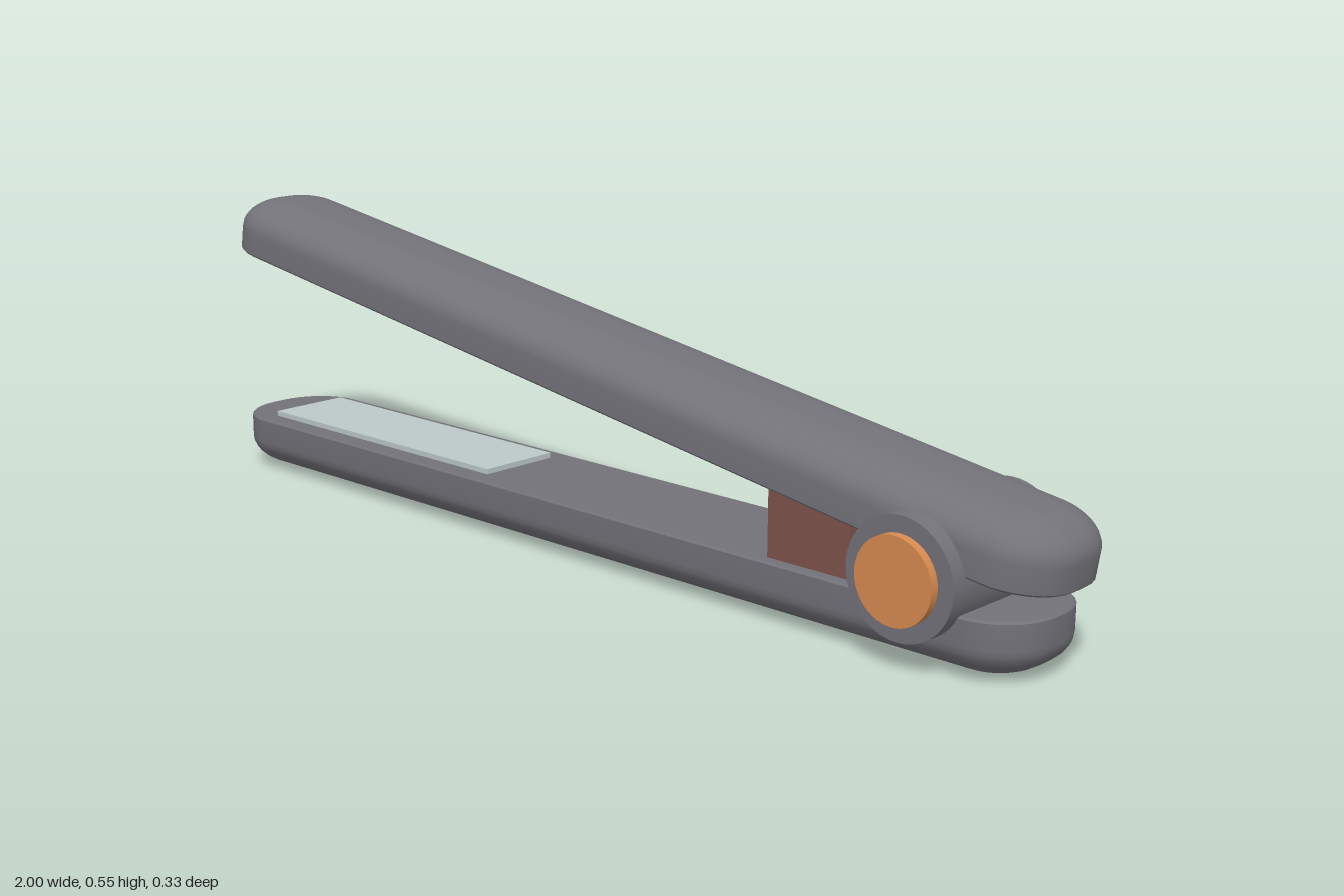
import * as THREE from 'three';
import { toCreasedNormals } from 'three/addons/utils/BufferGeometryUtils.js';

const material = (name, color) => {
  const m = new THREE.MeshStandardMaterial({ color });
  m.name = name;
  return m;
};

// Arm shell: flat face on y = 0, domed towards +y, made of stacked rounded-rectangle outlines
function armGeometry(length) {
  const halfWidth = 0.12, corner = 0.105, arc = 8;
  const layers = [[0, 0.004], [0.004, 0]]; // [height, inset]
  const steps = 9;
  for (let i = 0; i <= steps; i++) {
    const t = (i / steps) * Math.PI / 2;
    layers.push([0.048 + 0.06 * Math.sin(t), 0.1 * (1 - Math.cos(t))]);
  }
  const positions = [], index = [];
  const signs = [[1, -1], [-1, -1], [-1, 1], [1, 1]];
  for (const [y, inset] of layers) {
    signs.forEach(([sx, sz], q) => {
      for (let k = 0; k <= arc; k++) {
        const t = (q + k / arc) * Math.PI / 2;
        positions.push(
          sx * (length / 2 - corner) + (corner - inset) * Math.cos(t),
          y,
          sz * (halfWidth - corner) - (corner - inset) * Math.sin(t));
      }
    });
  }
  const n = 4 * (arc + 1), last = (layers.length - 1) * n;
  const bottom = layers.length * n, top = bottom + 1;
  positions.push(0, 0, 0, 0, 0.108, 0);
  for (let j = 0; j < n; j++) {
    const j2 = (j + 1) % n;
    for (let k = 0; k < last; k += n) {
      index.push(k + j, k + j2, k + n + j2, k + j, k + n + j2, k + n + j);
    }
    index.push(bottom, j2, j, top, last + j, last + j2);
  }
  const g = new THREE.BufferGeometry();
  g.setAttribute('position', new THREE.Float32BufferAttribute(positions, 3));
  g.setIndex(index);
  return toCreasedNormals(g, 0.7);
}

export function createModel() {
  const body = material('body grey', 0x737279);
  const metal = material('plate silver', 0xbcc8c9);
  const copper = material('hinge copper', 0xd88a50);
  const brown = material('block brown', 0x7f534b);

  const model = new THREE.Group();
  model.name = 'hairStraightener';

  const add = (parent, name, geometry, mat, x, y, z) => {
    const mesh = new THREE.Mesh(geometry, mat);
    mesh.name = name;
    mesh.position.set(x, y, z);
    parent.add(mesh);
    return mesh;
  };

  // An arm with its heating plate on the flat face
  const addArm = (name, length, plateX) => {
    const arm = new THREE.Group();
    arm.name = name;
    add(arm, name + 'Shell', armGeometry(length), body, 0, 0, 0);
    add(arm, name + 'HeatingPlate', new THREE.BoxGeometry(0.64, 0.02, 0.165), metal, plateX, 0, 0);
    model.add(arm);
    return arm;
  };

  const lower = addArm('lowerArm', 1.945, -0.5475);
  lower.position.set(-0.0125, 0.108, 0);
  lower.rotation.x = Math.PI;

  const upper = addArm('upperArm', 2.016, -0.56);
  upper.position.set(-0.004, 0.305, 0);
  upper.rotation.z = -0.154;

  // Block between the arms, in front of the hinge
  add(model, 'springBlock', new THREE.BoxGeometry(0.17, 0.15, 0.2), brown, 0.545, 0.165, 0);

  // Hinge barrel with a cap on each end
  const disc = (radius, depth) => new THREE.CylinderGeometry(radius, radius, depth, 48).rotateX(Math.PI / 2);
  add(model, 'hingeBarrel', disc(0.103, 0.3), body, 0.765, 0.153, 0);
  for (const side of [1, -1]) {
    add(model, side > 0 ? 'frontHingeCap' : 'backHingeCap', disc(0.074, 0.026), copper, 0.765, 0.153, side * 0.153);
  }
  return model;
}
